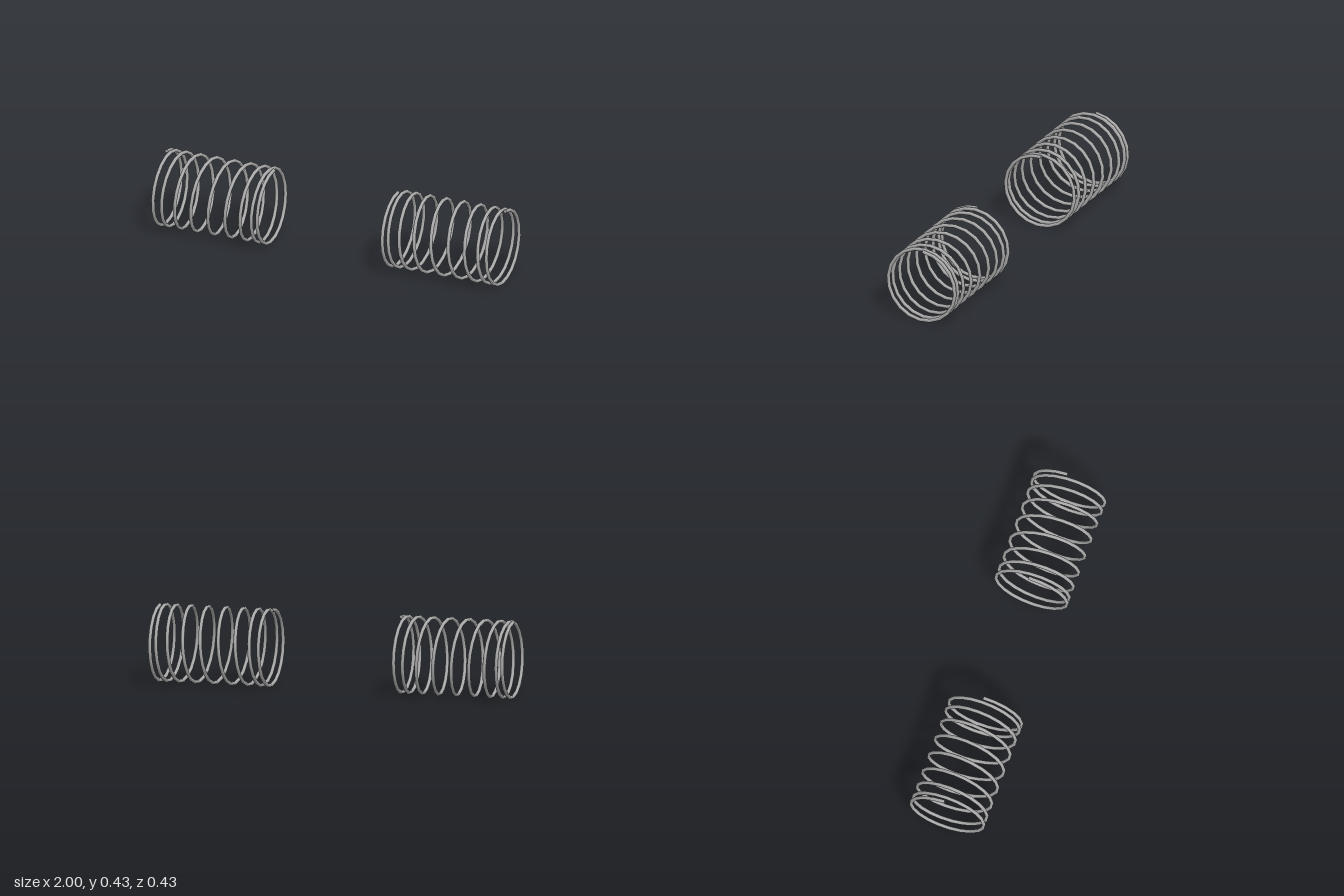
import * as THREE from 'three';

const TURNS = 9, STEPS_PER_TURN = 20;
const COIL_RADIUS = 0.205, WIRE_RADIUS = 0.01, AXIS_Y = 0.2145;
const OUTER_X = 0.99, INNER_X = 0.363;
const START_ANGLE = THREE.MathUtils.degToRad(3.6);

// Helix along x whose pitch is tight at both ends and wide in the middle
class SpringCurve extends THREE.Curve {
  constructor(side) {
    super();
    this.side = side;
  }
  getPoint(t, target = new THREE.Vector3()) {
    const eased = 0.93 * t * t * (3 - 2 * t) + 0.07 * t;
    const a = START_ANGLE + t * TURNS * Math.PI * 2;
    return target.set(
      this.side * THREE.MathUtils.lerp(OUTER_X, INNER_X, eased),
      AXIS_Y + COIL_RADIUS * Math.cos(a),
      -COIL_RADIUS * Math.sin(a)
    );
  }
  // Equal angle steps keep every turn a matching 20-sided ring
  getUtoTmapping(u) {
    return u;
  }
}

function createSpring(side, name, material) {
  const spring = new THREE.Group();
  spring.name = name;
  const curve = new SpringCurve(side);

  const coil = new THREE.Mesh(
    new THREE.TubeGeometry(curve, TURNS * STEPS_PER_TURN, WIRE_RADIUS, 8, false),
    material
  );
  coil.name = 'coil';
  spring.add(coil);

  // Flat discs closing the cut wire ends
  for (const t of [0, 1]) {
    const cap = new THREE.Mesh(new THREE.CircleGeometry(WIRE_RADIUS, 8), material);
    cap.name = t ? 'innerWireEnd' : 'outerWireEnd';
    const outward = curve.getTangent(t).multiplyScalar(t ? 1 : -1);
    cap.position.copy(curve.getPoint(t));
    cap.quaternion.setFromUnitVectors(new THREE.Vector3(0, 0, 1), outward);
    spring.add(cap);
  }
  return spring;
}

export function createModel() {
  const steel = new THREE.MeshStandardMaterial({ color: 0xaaaaaa });
  steel.name = 'steel grey';

  const model = new THREE.Group();
  model.name = 'springPair';
  model.add(createSpring(1, 'leftSpring', steel), createSpring(-1, 'rightSpring', steel));
  return model;
}
